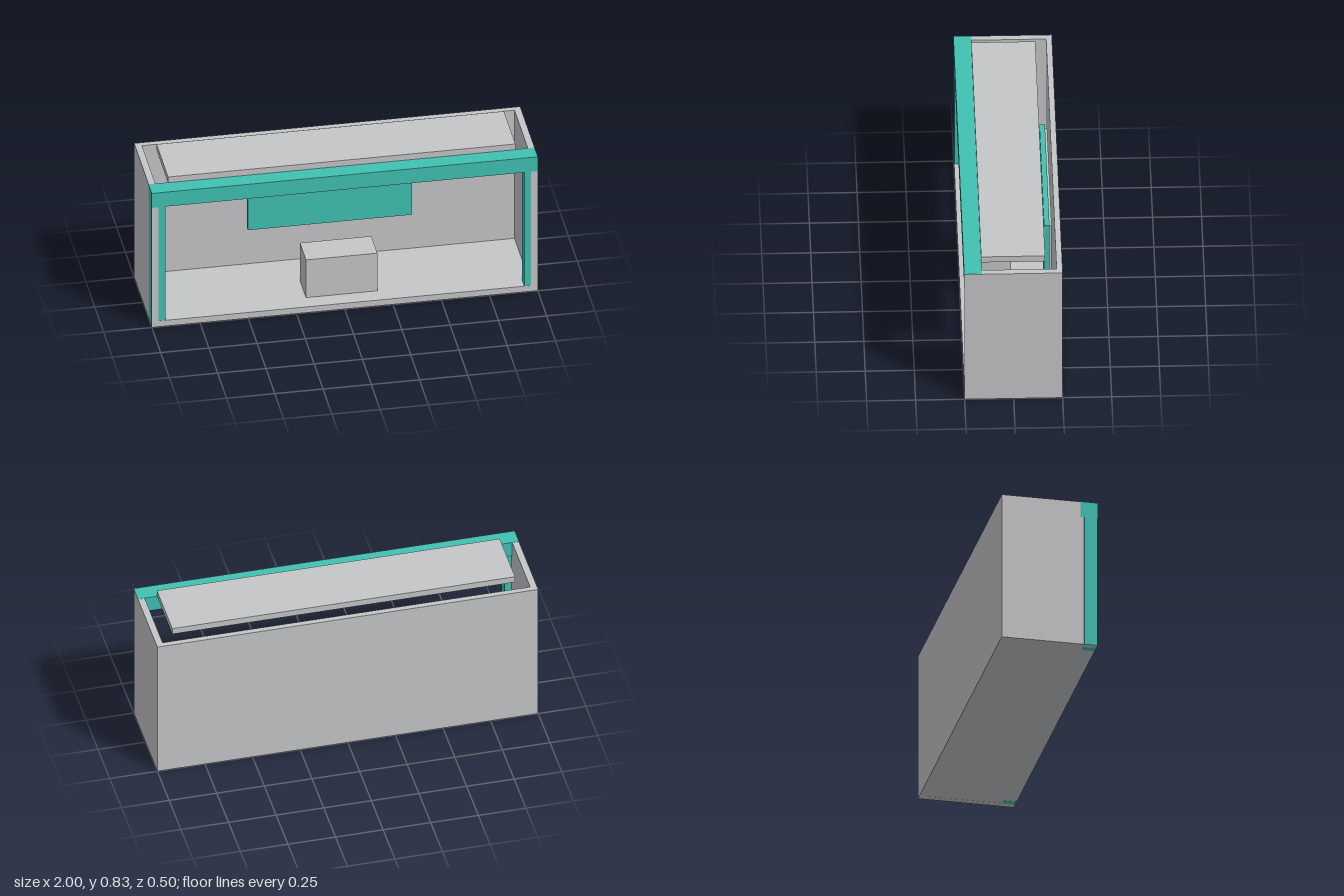
import * as THREE from 'three';

export function createModel() {
  const group = new THREE.Group();
  const grey = new THREE.MeshStandardMaterial({ color: 0xc5c6c8 });
  grey.name = 'light grey';
  const teal = new THREE.MeshStandardMaterial({ color: 0x40c1b2 });
  teal.name = 'teal';

  // Box given by its [min, max] extent on each axis
  function box(name, material, [x0, x1], [y0, y1], [z0, z1]) {
    const mesh = new THREE.Mesh(new THREE.BoxGeometry(x1 - x0, y1 - y0, z1 - z0), material);
    mesh.position.set((x0 + x1) / 2, (y0 + y1) / 2, (z0 + z1) / 2);
    mesh.name = name;
    group.add(mesh);
  }

  // Open-fronted shell: floor, back and side walls
  box('floor', grey, [-0.965, 0.965], [0.0005, 0.035], [-0.22, 0.25]);
  box('backWall', grey, [-1, 1], [0, 0.8], [-0.25, -0.22]);
  box('leftWall', grey, [0.965, 1], [0, 0.8], [-0.22, 0.25]);
  box('rightWall', grey, [-1, -0.965], [0, 0.8], [-0.22, 0.25]);

  // Corner posts set just behind the front edges of the shell
  box('leftPost', teal, [0.93, 0.999], [0, 0.78], [0.18, 0.249]);
  box('rightPost', teal, [-1.001, -0.93], [0, 0.78], [0.18, 0.249]);

  // Header beam across the front
  box('header', teal, [-1.001, 0.999], [0.715, 0.801], [0.16, 0.252]);

  // Raised roof panel with a gap around it
  box('roofPanel', grey, [-0.9, 0.9], [0.8, 0.835], [-0.163, 0.163]);

  // Display panel on its backing in front of the back wall
  box('display', teal, [-0.425, 0.425], [0.265, 0.665], [-0.199, -0.171]);
  box('displayBacking', grey, [-0.41, 0.41], [0.28, 0.65], [-0.21, -0.199]);

  // Counter standing on the floor
  box('counter', grey, [-0.185, 0.185], [0.035, 0.26], [-0.01, 0.16]);

  return group;
}
